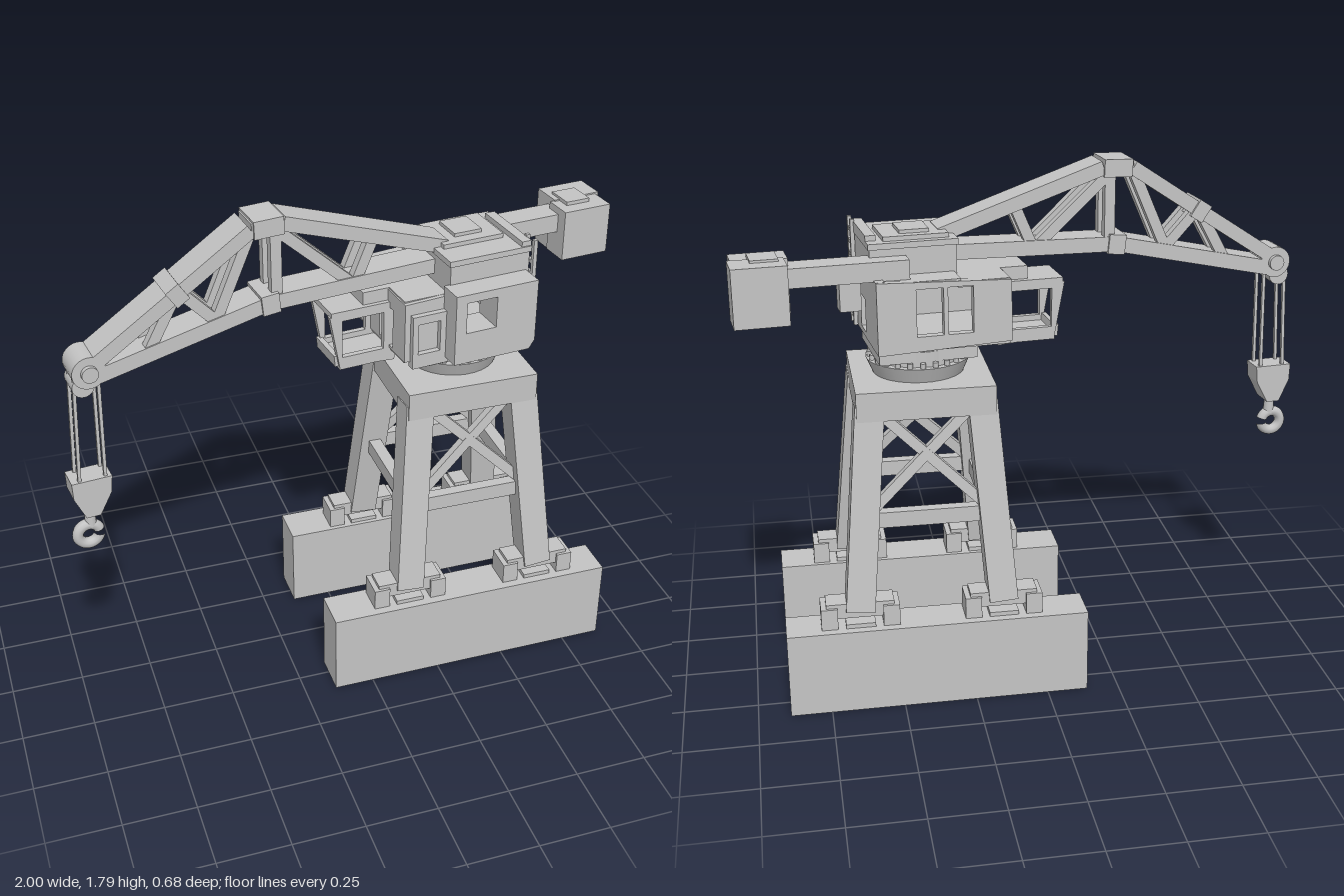
import * as THREE from 'three';

const steel = new THREE.MeshStandardMaterial({ color: 0xc4c4c4 });
steel.name = 'grey steel';

function add(parent, name, geometry) {
  const mesh = new THREE.Mesh(geometry, steel);
  mesh.name = name;
  parent.add(mesh);
  return mesh;
}

// Box given by its limits on each axis
function box(parent, name, x0, x1, y0, y1, z0, z1) {
  const m = add(parent, name, new THREE.BoxGeometry(x1 - x0, y1 - y0, z1 - z0));
  m.position.set((x0 + x1) / 2, (y0 + y1) / 2, (z0 + z1) / 2);
  return m;
}

// Square bar between two points
function strut(parent, name, a, b, w, d) {
  const p = new THREE.Vector3(...a), q = new THREE.Vector3(...b);
  const m = add(parent, name, new THREE.BoxGeometry(w, p.distanceTo(q), d));
  m.position.copy(p).add(q).multiplyScalar(0.5);
  m.quaternion.setFromUnitVectors(new THREE.Vector3(0, 1, 0), q.sub(p).normalize());
  return m;
}

// Plate from an outline with rectangular openings [x0, x1, y0, y1]
function plate(parent, name, points, holes, depth, z) {
  const shape = new THREE.Shape(points.map(p => new THREE.Vector2(...p)));
  for (const [x0, x1, y0, y1] of holes) {
    shape.holes.push(new THREE.Path([[x0, y0], [x0, y1], [x1, y1], [x1, y0]].map(p => new THREE.Vector2(...p))));
  }
  const m = add(parent, name, new THREE.ExtrudeGeometry(shape, { depth, bevelEnabled: false }));
  m.position.z = z;
  return m;
}

// Plate whose outline is given as [-z, y], facing sideways at x
function sidePlate(parent, name, points, holes, depth, x) {
  const m = plate(parent, name, points, holes, depth, 0);
  m.rotation.y = Math.PI / 2;
  m.position.x = x;
}

function cylinder(parent, name, rTop, rBottom, h, x, y, z, sides = 24) {
  const m = add(parent, name, new THREE.CylinderGeometry(rTop, rBottom, h, sides));
  m.position.set(x, y, z);
  return m;
}

function buildPortal(root) {
  const g = new THREE.Group();
  g.name = 'portal';
  root.add(g);
  for (const s of [1, -1]) {
    box(g, 'baseBeam', -0.14, 0.89, 0.01, 0.31, s * 0.267 - 0.073, s * 0.267 + 0.073);
    for (const [xb, xt] of [[0.148, 0.2], [0.638, 0.575]]) {
      strut(g, 'leg', [xb, 0.36, s * 0.262], [xt, 1.06, s * 0.172], 0.098, 0.098);
      // Foot: bridge on two end blocks
      box(g, 'footBridge', xb - 0.115, xb + 0.115, 0.345, 0.398, s * 0.26 - 0.04, s * 0.26 + 0.04);
      box(g, 'footPad', xb - 0.05, xb + 0.05, 0.3, 0.325, s * 0.26 - 0.05, s * 0.26 + 0.05);
      for (const e of [-1, 1]) {
        const x = xb + e * 0.105;
        box(g, 'footBlock', x - 0.028, x + 0.028, 0.3, 0.385, s * 0.26 - 0.05, s * 0.26 + 0.05);
      }
    }
    // Rail and cross brace
    strut(g, 'longRail', [0.18, 0.67, s * 0.222], [0.6, 0.67, s * 0.222], 0.055, 0.04);
    strut(g, 'crossBrace', [0.2, 0.7, s * 0.215], [0.55, 1.04, s * 0.175], 0.035, 0.03);
    strut(g, 'crossBrace', [0.58, 0.7, s * 0.215], [0.23, 1.04, s * 0.175], 0.035, 0.03);
  }
  for (const x of [0.175, 0.608]) box(g, 'sideRail', x - 0.022, x + 0.022, 0.643, 0.698, -0.2, 0.2);
  box(g, 'topFrame', 0.155, 0.62, 1.02, 1.12, -0.23, 0.23);
  cylinder(g, 'slewingRing', 0.178, 0.155, 0.055, 0.39, 1.145, 0, 32);
  cylinder(g, 'slewingNeck', 0.155, 0.155, 0.06, 0.39, 1.195, 0, 32);
  for (let i = 0; i < 24; i++) {
    const a = i / 24 * Math.PI * 2;
    cylinder(g, 'ringBolt', 0.01, 0.01, 0.02, 0.39 + 0.164 * Math.cos(a), 1.18, 0.164 * Math.sin(a), 6);
  }
}

function buildHouse(g) {
  box(g, 'houseBase', -0.17, 0.16, 1.19, 1.245, -0.15, 0.16);
  const lower = [[-0.28, 1.25], [0.17, 1.235], [0.17, 1.48], [-0.28, 1.46]];
  const upper = [[-0.12, 1.46], [0.17, 1.46], [0.17, 1.575], [-0.12, 1.575]];
  const front = [-0.1, 0.01, 1.36, 1.47];
  plate(g, 'frontWall', [...lower.slice(0, 2), [0.17, 1.575], [-0.12, 1.575], [-0.12, 1.465], lower[3]], [front], 0.03, 0.17);
  plate(g, 'backWall', lower, [[-0.15, -0.065, 1.29, 1.45], [-0.05, 0.04, 1.29, 1.45]], 0.03, -0.19);
  plate(g, 'upperBackWall', upper, [], 0.02, -0.09);
  plate(g, 'frontBay', [[-0.14, 1.25], [0.14, 1.25], [0.16, 1.28], [0.16, 1.5], [-0.14, 1.5]], [front], 0.09, 0.195);
  // End walls
  sidePlate(g, 'rightWall', [[-0.18, 1.235], [0.18, 1.235], [0.18, 1.48], [0.08, 1.48], [0.08, 1.575], [-0.18, 1.575]],
    [[-0.1, -0.02, 1.255, 1.37]], 0.03, 0.14);
  sidePlate(g, 'leftWall', [[-0.18, 1.25], [0.18, 1.25], [0.18, 1.46], [-0.18, 1.46]],
    [[-0.11, -0.01, 1.26, 1.4]], 0.025, -0.28);
  box(g, 'upperLeftWall', -0.12, -0.095, 1.45, 1.575, -0.08, 0.185);
  box(g, 'floor', -0.275, 0.165, 1.24, 1.255, -0.185, 0.185);
  box(g, 'lowerRoofSide', -0.275, -0.1, 1.445, 1.465, -0.185, 0.185);
  box(g, 'lowerRoofBack', -0.11, 0.165, 1.455, 1.475, -0.185, -0.075);
  box(g, 'roof', -0.125, 0.175, 1.565, 1.585, -0.095, 0.205);
  // Roof machinery
  box(g, 'winchHousing', -0.1, 0.12, 1.58, 1.6, -0.07, 0.11);
  box(g, 'winchCover', -0.04, 0.06, 1.595, 1.612, -0.04, 0.07);
  box(g, 'roofRidge', 0.14, 0.175, 1.58, 1.603, -0.05, 0.2);
  // Ladder on the end wall
  for (const z of [0.165, 0.215]) box(g, 'ladderRail', 0.172, 0.186, 1.24, 1.61, z - 0.007, z + 0.007);
  for (let i = 0; i < 8; i++) box(g, 'ladderRung', 0.173, 0.185, 1.265 + i * 0.043, 1.277 + i * 0.043, 0.165, 0.215);
  // Counterweight and its arm
  box(g, 'counterweightArm', 0.05, 0.46, 1.475, 1.54, -0.15, -0.055);
  box(g, 'armBracket', 0.21, 0.28, 1.38, 1.49, -0.14, -0.08);
  box(g, 'counterweight', 0.435, 0.615, 1.385, 1.565, -0.115, -0.01);
  box(g, 'counterweight', 0.45, 0.627, 1.375, 1.57, -0.22, -0.108);
  box(g, 'counterweightCap', 0.47, 0.56, 1.56, 1.578, -0.16, -0.06);
}

function buildCab(g) {
  // Operator cab with leaning nose and open window frames
  const outline = [[-0.46, 1.215], [-0.26, 1.2], [-0.255, 1.42], [-0.495, 1.405]];
  for (const z of [-0.08, 0.065]) plate(g, 'cabSide', outline, [[-0.45, -0.3, 1.25, 1.385]], 0.02, z);
  box(g, 'cabRoof', -0.49, -0.26, 1.4, 1.42, -0.08, 0.085);
  box(g, 'cabFloor', -0.46, -0.26, 1.205, 1.23, -0.08, 0.085);
  strut(g, 'cabNoseSill', [-0.463, 1.215, 0], [-0.467, 1.255, 0], 0.018, 0.15);
  box(g, 'cabRoofBlock', -0.37, -0.15, 1.42, 1.465, -0.06, 0.07);
  plate(g, 'cabMount', [[-0.26, 1.23], [-0.13, 1.23], [-0.13, 1.42], [-0.26, 1.42]], [[-0.24, -0.16, 1.28, 1.39]], 0.03, 0.19);
}

function buildBoom(g) {
  const z = 0.033;
  const chord = (name, pts, w, d) => {
    for (let i = 1; i < pts.length; i++) strut(g, name, [...pts[i - 1], z], [...pts[i], z], w, d);
  };
  chord('topChord', [[-1.28, 1.42], [-1.005, 1.6], [-0.755, 1.765], [-0.65, 1.77], [-0.08, 1.58]], 0.048, 0.11);
  chord('bottomChord', [[-1.28, 1.375], [-0.7, 1.505], [-0.08, 1.52]], 0.052, 0.11);
  // Web members on both faces
  const webs = [[-1.1, 1.43, -1.0, 1.61], [-1.0, 1.61, -0.88, 1.48], [-0.88, 1.48, -0.765, 1.74],
    [-0.675, 1.51, -0.675, 1.76], [-0.66, 1.74, -0.42, 1.52], [-0.4, 1.52, -0.34, 1.66]];
  for (const [x0, y0, x1, y1] of webs) {
    for (const s of [-0.035, 0.035]) strut(g, 'webMember', [x0, y0, z + s], [x1, y1, z + s], 0.037, 0.03);
  }
  // Joint sleeves
  const sleeve = (x, y, w, h, a) => {
    const m = box(g, 'jointSleeve', x - w / 2, x + w / 2, y - h / 2, y + h / 2, z - 0.063, z + 0.063);
    m.rotation.z = a;
  };
  sleeve(-1.005, 1.6, 0.05, 0.066, 0.58);
  sleeve(-0.7, 1.768, 0.1, 0.06, 0.03);
  sleeve(-0.7, 1.505, 0.06, 0.068, 0.1);

  // Tip sheaves
  for (const [x, y, r, w] of [[-1.3, 1.395, 0.055, 0.11], [-1.3, 1.395, 0.027, 0.14], [-1.32, 1.345, 0.036, 0.09]]) {
    cylinder(g, 'tipSheave', r, r, w, x, y, z).rotation.x = Math.PI / 2;
  }
  // Hoist ropes, hook block and hook
  for (const s of [-0.03, 0.03]) {
    strut(g, 'hoistRope', [-1.345, 1.38, z + s], [-1.362, 0.98, z + s], 0.011, 0.011);
    strut(g, 'hoistRope', [-1.268, 1.37, z + s], [-1.276, 0.98, z + s], 0.011, 0.011);
  }
  plate(g, 'hookBlock', [[-1.352, 0.86], [-1.305, 0.86], [-1.262, 0.94], [-1.256, 1], [-1.39, 1], [-1.388, 0.94]], [], 0.085, z - 0.042);
  cylinder(g, 'hookShank', 0.016, 0.02, 0.07, -1.332, 0.838, z, 12);
  const hook = add(g, 'hook', new THREE.TorusGeometry(0.037, 0.019, 10, 28, Math.PI * 1.85));
  hook.position.set(-1.342, 0.77, z);
  hook.rotation.z = Math.PI * 0.1;
}

export function createModel() {
  const root = new THREE.Group();
  root.name = 'harbourCrane';
  buildPortal(root);
  // Everything above the ring is slewed a little
  const upper = new THREE.Group();
  upper.name = 'slewingUpperworks';
  upper.position.x = 0.39;
  upper.rotation.y = 0.11;
  root.add(upper);
  buildHouse(upper);
  buildCab(upper);
  buildBoom(upper);
  return root;
}
